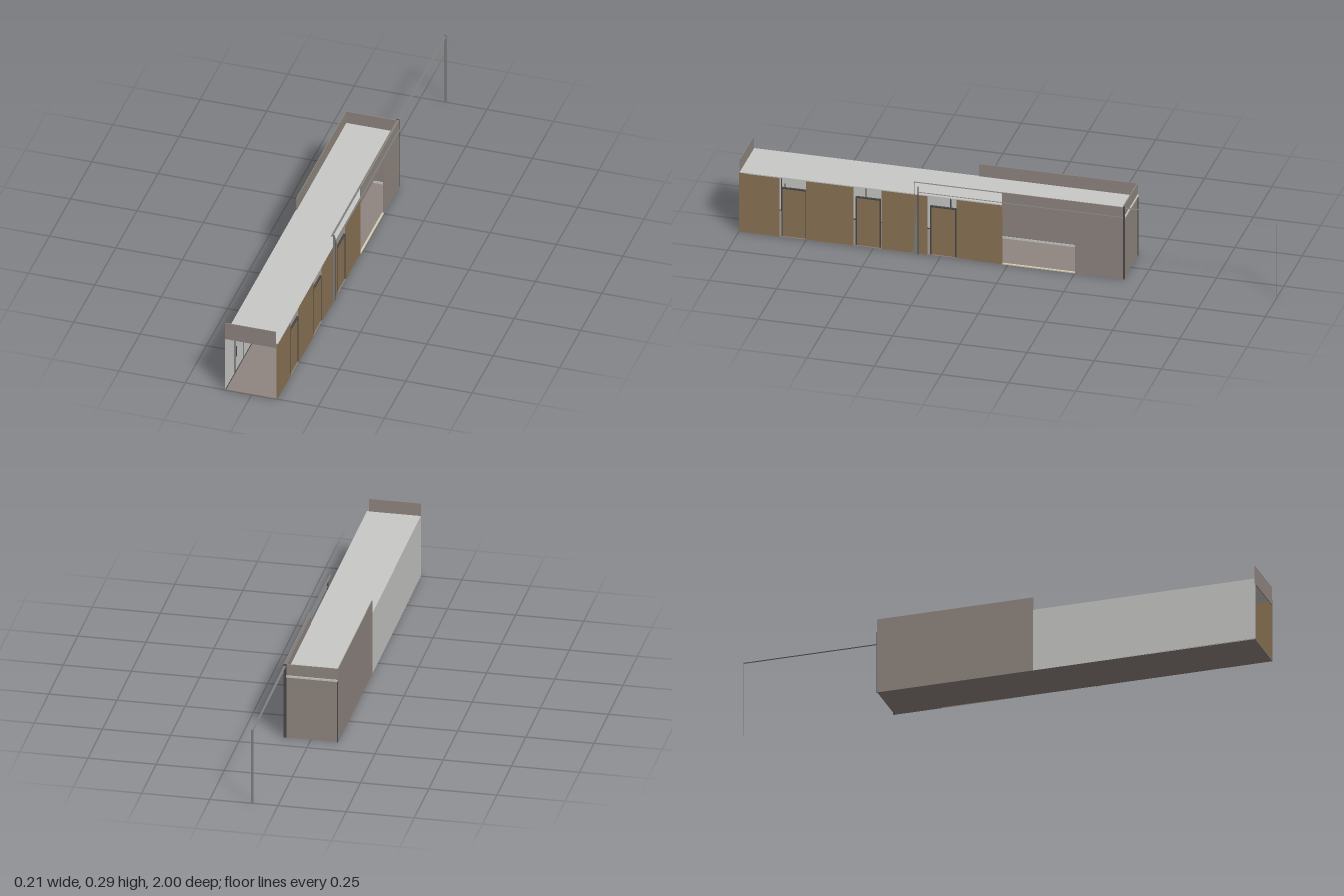
import * as THREE from 'three';

const mat = (name, color, double) => {
  const m = new THREE.MeshStandardMaterial({ color });
  m.name = name;
  if (double) m.side = THREE.DoubleSide;
  return m;
};

export function createModel() {
  const wallMat = mat('taupe wall', 0x8f8680);
  const paleMat = mat('pale grey', 0xc8c8c6);
  const woodMat = mat('wood', 0x8b7355);
  const metalMat = mat('grey metal', 0x808080, true);
  const darkMat = mat('dark frame', 0x484848);
  const creamMat = mat('cream trim', 0xd8d0b4);
  const leafMat = mat('leaf green', 0x26331f, true);
  const potMat = mat('pot white', 0xd0cec9, true);

  const root = new THREE.Group();
  root.name = 'corridorBuilding';

  // Box given by its limits on each axis
  const box = (name, material, [x0, x1], [y0, y1], [z0, z1], parent = root) => {
    const mesh = new THREE.Mesh(new THREE.BoxGeometry(x1 - x0, y1 - y0, z1 - z0), material);
    mesh.position.set((x0 + x1) / 2, (y0 + y1) / 2, (z0 + z1) / 2);
    mesh.name = name;
    parent.add(mesh);
    return mesh;
  };

  // Floor, roof and the tall rear walls with their parapets
  const back = -0.43, front = 1;
  box('floor', wallMat, [-0.1, 0.098], [0, 0.003], [back, front]);
  box('roof', paleMat, [-0.098, 0.098], [0.236, 0.24], [back + 0.002, front - 0.002]);
  box('endWall', wallMat, [-0.1, 0.1], [0, 0.289], [back, back + 0.004]);
  box('leftRearWall', wallMat, [-0.1, -0.097], [0, 0.289], [back, 0.16]);
  box('frontFascia', wallMat, [-0.1, 0.09], [0.22, 0.289], [front - 0.003, front]);
  box('longPaleWall', paleMat, [-0.1, -0.098], [0, 0.24], [0.16, front]);

  // Rear side wall with a wide opening
  box('openingHeader', wallMat, [0.096, 0.1], [0.22, 0.289], [-0.25, 0.02]);
  box('rearSideWall', wallMat, [0.096, 0.1], [0, 0.289], [back, -0.25]);
  box('openingSill', creamMat, [0.093, 0.1], [0, 0.004], [-0.25, 0.02]);

  // Wooden wall panels and the lower doors between them
  for (const z of [[0.85, 1], [0.575, 0.75], [0.30, 0.47], [0.02, 0.19]])
    box('woodPanel', woodMat, [0.094, 0.098], [0, 0.238], z);
  for (const [z0, z1] of [[0.752, 0.838], [0.478, 0.562], [0.197, 0.285]]) {
    box('door', woodMat, [0.09, 0.094], [0.003, 0.193], [z0, z1]);
    box('doorTopFrame', darkMat, [0.089, 0.096], [0.193, 0.198], [z0 - 0.004, z1 + 0.004]);
    box('doorFrame', darkMat, [0.089, 0.096], [0, 0.198], [z1, z1 + 0.004]);
    box('doorFrame', darkMat, [0.089, 0.096], [0, 0.198], [z0 - 0.004, z0]);
    box('doorHandle', darkMat, [0.084, 0.086], [0.08, 0.105], [z1 - 0.012, z1 - 0.009]);
    box('handleStem', darkMat, [0.085, 0.09], [0.091, 0.094], [z1 - 0.012, z1 - 0.009]);
  }

  // Slim mullions and rail along the inside of the pale wall
  for (let i = 0; i < 8; i++) {
    const z = 0.895 - i * 0.105;
    box('mullion', darkMat, [-0.098, -0.096], [0, 0.236], [z - 0.002, z + 0.002]);
  }
  box('wallBottomRail', darkMat, [-0.098, -0.0965], [0.003, 0.007], [0.16, front]);
  box('wallHandle', darkMat, [-0.096, -0.094], [0.07, 0.115], [0.88, 0.883]);

  // Skirting and the picture panel in the rear room
  box('sideSkirting', paleMat, [-0.097, -0.095], [0.003, 0.011], [back + 0.004, 0.16]);
  box('endSkirting', paleMat, [-0.095, 0.087], [0.003, 0.011], [back + 0.004, back + 0.007]);
  box('pictureFrame', creamMat, [-0.062, 0.053], [0.094, 0.186], [back + 0.004, back + 0.006]);
  box('picturePanel', paleMat, [-0.059, 0.051], [0.096, 0.184], [back + 0.006, back + 0.008]);

  // Trim outside the end wall
  box('endTrim', paleMat, [-0.098, 0.09], [0.239, 0.246], [back - 0.004, back]);
  box('endPost', darkMat, [0.09, 0.1], [0, 0.29], [back - 0.004, back]);
  box('endCornerPost', darkMat, [-0.1, -0.097], [0, 0.24], [back - 0.003, back]);

  // Flat overhead rails on plate posts
  const plate = (name, w, h, x, y, z, flat) => {
    const mesh = new THREE.Mesh(new THREE.PlaneGeometry(w, h), metalMat);
    mesh.position.set(x, y, z);
    if (flat) mesh.rotation.x = -Math.PI / 2;
    mesh.name = name;
    root.add(mesh);
  };
  plate('upperRail', 0.008, 1.35, 0.094, 0.285, -0.325, true);
  plate('lowerRail', 0.006, 0.76, 0.102, 0.25, -0.05, true);
  plate('farPost', 0.01, 0.291, 0.094, 0.1455, -0.9995);
  plate('railPost', 0.008, 0.29, 0.102, 0.145, 0.345);
  box('railPostBar', darkMat, [0.098, 0.102], [0, 0.27], [0.331, 0.334]);

  // Tapering brace beside the post
  const brace = new THREE.Mesh(new THREE.ShapeGeometry(new THREE.Shape([
    new THREE.Vector2(-0.352, 0), new THREE.Vector2(-0.334, 0), new THREE.Vector2(-0.334, 0.22),
  ])), metalMat);
  brace.rotation.y = Math.PI / 2;
  brace.position.x = 0.1;
  brace.name = 'postBrace';
  root.add(brace);

  // Potted plant
  const plant = new THREE.Group();
  plant.name = 'pottedPlant';
  plant.position.set(-0.043, 0.003, -0.36);
  root.add(plant);
  const pot = new THREE.Mesh(new THREE.LatheGeometry([
    [0, 0], [0.018, 0], [0.0225, 0.042], [0.0205, 0.042], [0.02, 0.036], [0, 0.036],
  ].map(([x, y]) => new THREE.Vector2(x, y)), 24), potMat);
  pot.name = 'pot';
  plant.add(pot);
  const stemCurve = new THREE.CatmullRomCurve3([
    [0.006, 0.035, 0], [0.007, 0.08, 0.002], [-0.002, 0.13, -0.002], [0, 0.185, 0],
  ].map(p => new THREE.Vector3(...p)));
  const stem = new THREE.Mesh(new THREE.TubeGeometry(stemCurve, 16, 0.0009, 5), leafMat);
  stem.name = 'stem';
  plant.add(stem);

  // Leaves scattered in clusters around the stem
  let seed = 7;
  const rnd = () => (seed = (seed * 16807) % 2147483647) / 2147483647;
  const leafShape = new THREE.Shape();
  leafShape.moveTo(0, 0);
  leafShape.quadraticCurveTo(0.0045, 0.006, 0, 0.017);
  leafShape.quadraticCurveTo(-0.0045, 0.006, 0, 0);
  const leafGeo = new THREE.ShapeGeometry(leafShape, 4);
  for (let i = 0; i < 26; i++) {
    const t = 0.32 + 0.68 * i / 25;
    const base = stemCurve.getPoint(t);
    const angle = i * 2.4, reach = (t < 0.75 ? 0.024 : 0.012) * (0.4 + 0.6 * rnd());
    const tip = base.clone().add(new THREE.Vector3(Math.cos(angle) * reach, 0.002, Math.sin(angle) * reach));
    const twig = new THREE.Mesh(new THREE.TubeGeometry(new THREE.LineCurve3(base, tip), 1, 0.0005, 3), leafMat);
    twig.name = 'twig';
    plant.add(twig);
    for (let k = 0; k < 5; k++) {
      const leaf = new THREE.Mesh(leafGeo, leafMat);
      leaf.position.copy(tip);
      leaf.rotation.set((rnd() - 0.5) * 1.6, rnd() * 6.28, (k - 2) * 0.9 + rnd() * 0.5, 'YXZ');
      leaf.scale.setScalar(0.7 + 0.4 * rnd());
      leaf.name = 'leaf';
      plant.add(leaf);
    }
  }
  return root;
}
